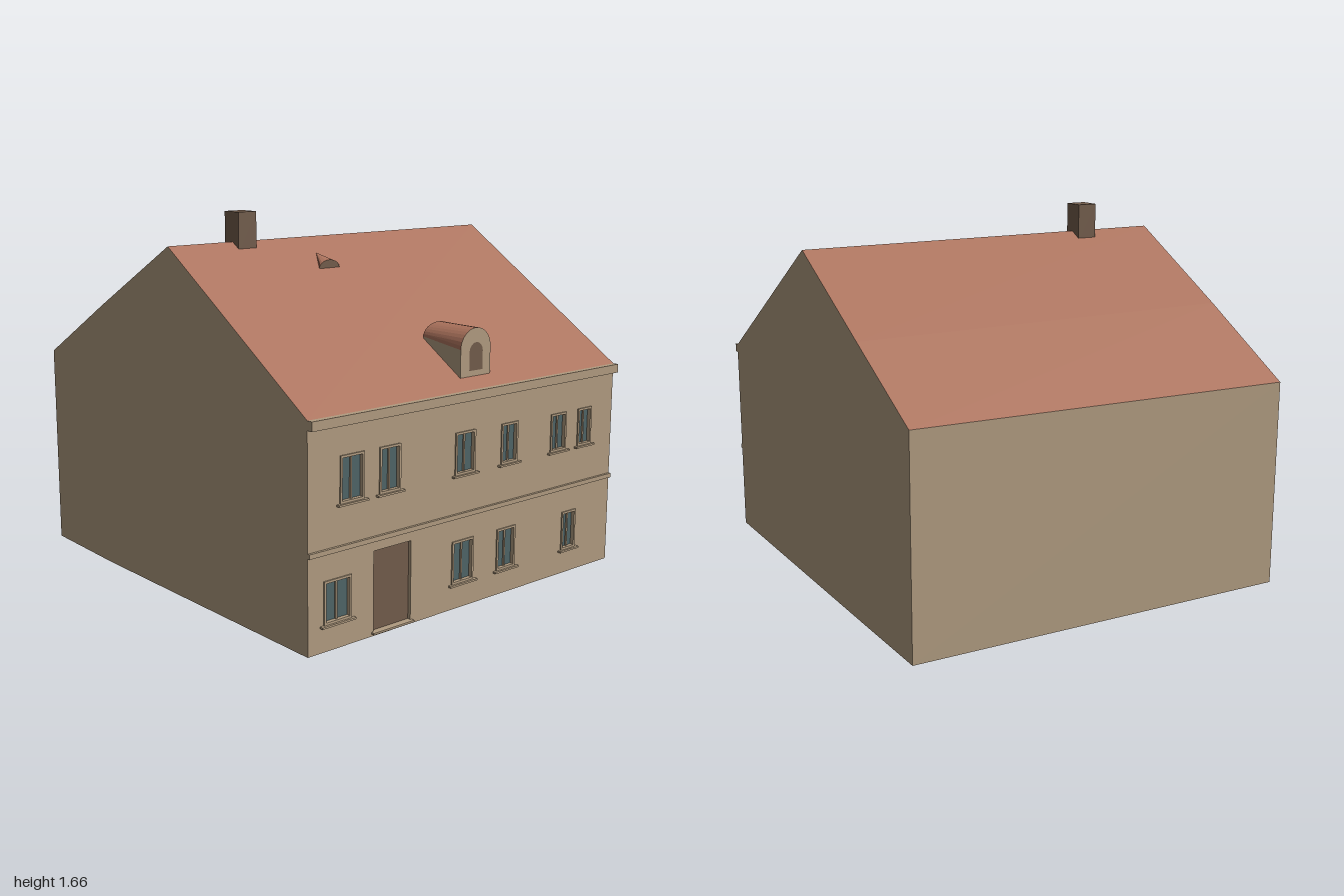
import * as THREE from 'three';

const mat = (name, color, side = THREE.FrontSide) => {
  const m = new THREE.MeshStandardMaterial({ color, side });
  m.name = name;
  return m;
};

const FRONT = 0.972, EAVE = 0.945, RIDGE_Z = 0.055, RIDGE_Y = 1.53;
const roofY = z => z > RIDGE_Z
  ? RIDGE_Y - (z - RIDGE_Z) * (RIDGE_Y - EAVE) / (FRONT - RIDGE_Z)
  : RIDGE_Y - (RIDGE_Z - z) * (RIDGE_Y - EAVE) / (1 + RIDGE_Z);

// Flat-faced surface from a list of [a, b, c, d] quads
function quads(list) {
  const p = [];
  for (const [a, b, c, d] of list) p.push(...a, ...b, ...c, ...a, ...c, ...d);
  const g = new THREE.BufferGeometry();
  g.setAttribute('position', new THREE.Float32BufferAttribute(p, 3));
  g.computeVertexNormals();
  return g;
}

function rectangle(x0, x1, y0, y1, Type = THREE.Shape) {
  const s = new Type();
  s.moveTo(x0, y0);
  s.lineTo(x1, y0);
  s.lineTo(x1, y1);
  s.lineTo(x0, y1);
  s.closePath();
  return s;
}

// Upright panel with a rounded top
function arch(x, halfW, y0, spring, rise) {
  const s = new THREE.Shape();
  s.moveTo(x - halfW, y0);
  s.lineTo(x + halfW, y0);
  s.lineTo(x + halfW, spring);
  s.absellipse(x, spring, halfW, rise, 0, Math.PI, false);
  s.closePath();
  return s;
}

export function createModel() {
  const house = new THREE.Group();
  house.name = 'house';
  const plaster = mat('plaster', 0xb09b80, THREE.DoubleSide);
  const tile = mat('roof tile', 0xab725c, THREE.DoubleSide);
  const glass = mat('window glass', 0x4f6467, THREE.DoubleSide);
  const brown = mat('brown', 0x725c4b, THREE.DoubleSide);

  const add = (name, geometry, material, parent = house) => {
    const m = new THREE.Mesh(geometry, material);
    m.name = name;
    parent.add(m);
    return m;
  };
  const box = (name, x0, x1, y0, y1, z0, z1, material, parent) =>
    add(name, new THREE.BoxGeometry(x1 - x0, y1 - y0, z1 - z0), material, parent)
      .position.set((x0 + x1) / 2, (y0 + y1) / 2, (z0 + z1) / 2);
  const ring = (name, x0, x1, y0, y1, w, z0, z1, parent) => {
    const s = rectangle(x0, x1, y0, y1);
    s.holes.push(rectangle(x0 + w, x1 - w, y0 + w, y1 - w, THREE.Path));
    add(name, new THREE.ExtrudeGeometry(s, { depth: z1 - z0, bevelEnabled: false }), plaster, parent)
      .position.z = z0;
  };

  // Side walls and roof follow the slightly irregular footprint [x, z]
  const left = [[-0.914, FRONT], [-0.917, RIDGE_Z], [-0.918, -0.5], [-0.905, -1]];
  const right = [[0.913, FRONT], [0.91, RIDGE_Z], [0.908, -0.5], [0.905, -0.962]];
  const foot = ([x, z]) => [x, 0, z];
  const top = ([x, z]) => [x, roofY(z), z];
  const leftWall = [], rightWall = [], slopes = [];
  for (let i = 0; i < 3; i++) {
    const l0 = left[i], l1 = left[i + 1], r0 = right[i], r1 = right[i + 1];
    leftWall.push([foot(l1), foot(l0), top(l0), top(l1)]);
    rightWall.push([foot(r0), foot(r1), top(r1), top(r0)]);
    slopes.push([top(l0), top(r0), top(r1), top(l1)]);
  }
  add('rightGableWall', quads(leftWall), plaster);
  add('leftGableWall', quads(rightWall), plaster);
  add('backWall', quads([[foot(right[3]), foot(left[3]), top(left[3]), top(right[3])]]), plaster);
  add('roof', quads(slopes), tile);

  // Windows: x0, x1, y0, y1
  const windows = [
    [-0.753, -0.629, 0.59, 0.783], [-0.547, -0.433, 0.59, 0.783],
    [-0.121, -0.002, 0.59, 0.774], [0.159, 0.263, 0.59, 0.77],
    [0.483, 0.587, 0.59, 0.764], [0.668, 0.763, 0.59, 0.764],
    [-0.836, -0.693, 0.112, 0.293], [-0.13, -0.001, 0.112, 0.302],
    [0.146, 0.263, 0.112, 0.3], [0.58, 0.675, 0.112, 0.293],
  ];
  const door = [-0.575, -0.365, 0.016, 0.362];

  // Front wall with openings
  const face = rectangle(-0.914, 0.913, 0, EAVE);
  for (const o of [...windows, door]) face.holes.push(rectangle(...o, THREE.Path));
  add('frontWall', new THREE.ShapeGeometry(face), plaster).position.z = FRONT;

  for (const [x0, x1, y0, y1] of windows) {
    const w = new THREE.Group();
    w.name = 'window';
    house.add(w);
    const mid = (x0 + x1) / 2;
    ring('windowFrame', x0, x1, y0, y1, 0.01, FRONT - 0.018, FRONT + 0.006, w);
    add('glass', new THREE.PlaneGeometry(x1 - x0 - 0.02, y1 - y0 - 0.02), glass, w)
      .position.set(mid, (y0 + y1) / 2, FRONT - 0.012);
    box('mullion', mid - 0.004, mid + 0.004, y0 + 0.01, y1 - 0.01, FRONT - 0.011, FRONT - 0.004, plaster, w);
    box('sill', x0 - 0.016, x1 + 0.016, y0 - 0.008, y0, FRONT - 0.005, FRONT + 0.016, plaster, w);
  }

  // Door and step
  ring('doorReveal', ...door, 0.002, FRONT - 0.018, FRONT, house);
  add('door', new THREE.PlaneGeometry(0.208, 0.344), brown).position.set(-0.47, 0.189, FRONT - 0.015);
  box('doorStep', -0.582, -0.358, 0.01, 0.018, FRONT - 0.01, FRONT + 0.016, plaster);

  // Horizontal mouldings
  box('stringCourse', -0.914, 0.913, 0.402, 0.422, FRONT - 0.002, FRONT + 0.012, plaster);
  box('cornice', -0.914, 0.913, 0.906, EAVE, FRONT - 0.002, 1, plaster);

  // Chimney
  box('chimney', -0.583, -0.487, 1.48, 1.66, 0, 0.1, brown);

  // Arched dormer: front panel, cheeks and barrel roof
  const dormer = new THREE.Group();
  dormer.name = 'archedDormer';
  house.add(dormer);
  const cx = 0.055, r = 0.09, zf = 0.91, zb = 0.685, sf = 1.105, sb = 1.135, crown = 1.192;
  add('dormerFront', new THREE.ShapeGeometry(arch(cx, r, 0.985, sf, crown - sf), 16), plaster, dormer).position.z = zf;
  add('dormerWindow', new THREE.ShapeGeometry(arch(cx, 0.04, 1.01, 1.09, 0.04), 12), brown, dormer).position.z = zf + 0.003;
  for (const s of [-1, 1]) {
    const x = cx + s * r;
    add('dormerCheek', quads([[[x, 0.98, zf], [x, roofY(zb), zb], [x, sb, zb], [x, sf, zf]]]), plaster, dormer);
  }
  const arc = (a, spring, z) => [cx + r * Math.cos(a), spring + (crown - spring) * Math.sin(a), z];
  const barrel = [], back = [], N = 16;
  for (let i = 0; i < N; i++) {
    const a = Math.PI * i / N, b = Math.PI * (i + 1) / N;
    barrel.push([arc(a, sf, zf), arc(a, sb, zb), arc(b, sb, zb), arc(b, sf, zf)]);
    back.push([[cx, 1.12, zb], arc(b, sb, zb), arc(a, sb, zb), [cx, 1.12, zb]]);
  }
  add('dormerRoof', quads(barrel), tile, dormer);
  add('dormerBack', quads(back), tile, dormer);

  // Small vent: low curved front, covering tapering up into the roof
  const vent = new THREE.Group();
  vent.name = 'roofVent';
  house.add(vent);
  const vx = -0.197, vz = 0.25, vy = roofY(vz), apex = [vx, 1.466, 0.157], cover = [];
  const rim = a => [vx + 0.058 * Math.cos(a), vy + 0.036 * Math.sin(a), vz];
  for (let i = 0; i < 8; i++)
    cover.push([rim(Math.PI * i / 8), apex, apex, rim(Math.PI * (i + 1) / 8)]);
  // Each fan face is one triangle, the second half of its quad
  add('ventCover', quads(cover.map(([a, p, , b]) => [a, p, b, b])), tile, vent);
  add('ventOpening', new THREE.ShapeGeometry(arch(vx, 0.058, vy - 0.002, vy, 0.036), 8), brown, vent).position.z = vz;

  return house;
}
